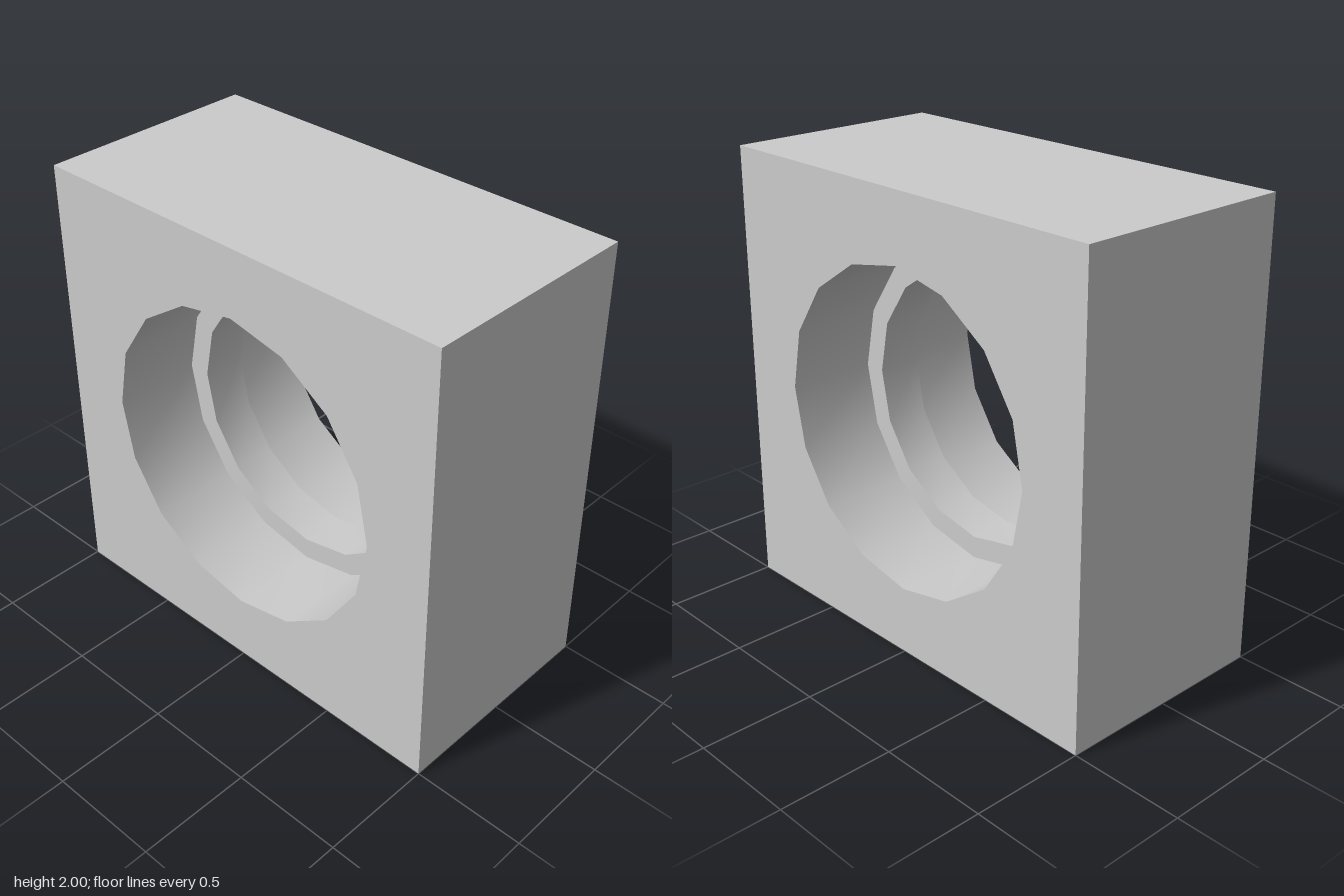
import * as THREE from 'three';
import { toCreasedNormals } from 'three/addons/utils/BufferGeometryUtils.js';

const SIDES = 16, BORE = 0.7, LIP = 0.6, HALF_W = 0.5, HALF_LIP = 0.1;

export function createModel() {
  const group = new THREE.Group();
  const material = new THREE.MeshStandardMaterial({ color: 0xcccccc });
  const add = (name, geometry) => {
    const mesh = new THREE.Mesh(geometry, material);
    mesh.name = name;
    mesh.position.y = 1;
    group.add(mesh);
  };

  // Surface turned about the x axis; profile points are [radius, x], facing the axis
  const turned = (profile) => {
    const points = profile.map(([r, x]) => new THREE.Vector2(r, x));
    const geometry = new THREE.LatheGeometry(points, SIDES).rotateZ(-Math.PI / 2);
    return toCreasedNormals(geometry, 0.6);
  };

  // Square side faces with the round opening
  const face = new THREE.Shape([[-1, -1], [1, -1], [1, 1], [-1, 1]].map(([x, y]) => new THREE.Vector2(x, y)));
  const rim = Array.from({ length: SIDES }, (_, i) => {
    const a = (-i / SIDES) * Math.PI * 2;
    return new THREE.Vector2(BORE * Math.cos(a), BORE * Math.sin(a));
  });
  face.holes.push(new THREE.Path(rim));
  for (const [name, s] of [['leftFace', 1], ['rightFace', -1]]) {
    add(name, new THREE.ShapeGeometry(face).rotateY(s * Math.PI / 2).translate(s * HALF_W, 0, 0));
  }

  // Four plain outer walls of the block
  ['frontWall', 'bottomWall', 'backWall', 'topWall'].forEach((name, i) => {
    add(name, new THREE.PlaneGeometry(2 * HALF_W, 2).translate(0, 0, 1).rotateX(i * Math.PI / 2));
  });

  // Wide bores on both sides of the central lip
  add('leftBore', turned([[BORE, HALF_W], [BORE, HALF_LIP]]));
  add('rightBore', turned([[BORE, -HALF_LIP], [BORE, -HALF_W]]));

  // Narrow inner lip with its two ledges
  add('innerLip', turned([[BORE, HALF_LIP], [LIP, HALF_LIP], [LIP, -HALF_LIP], [BORE, -HALF_LIP]]));

  return group;
}
